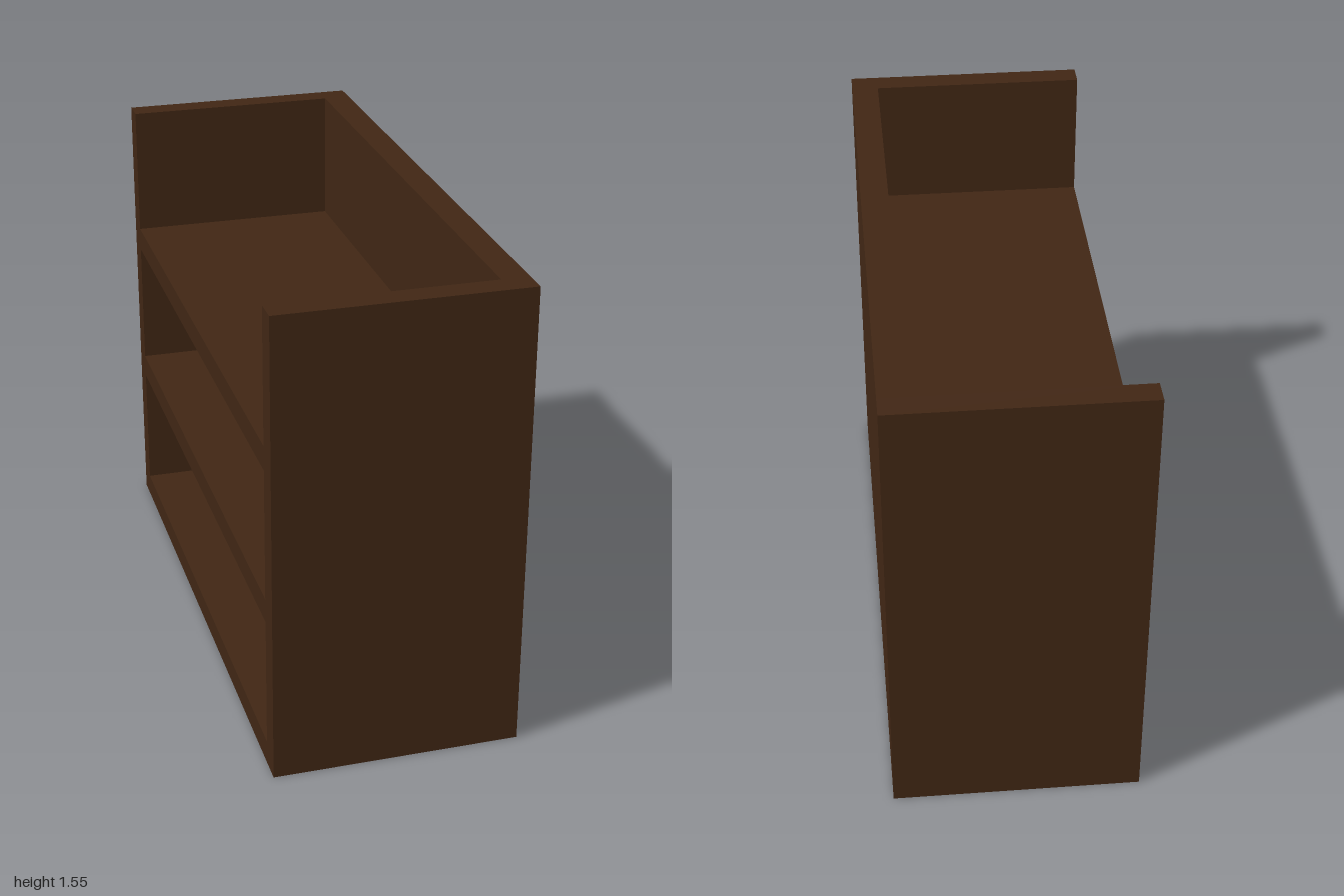
import * as THREE from 'three';

const DEPTH = 0.8, HEIGHT = 1.55, LENGTH = 2;
const PANEL = 0.08;  // thickness of sides and shelves
const BACK = 0.09;   // thickness of the closed long panel

export function createModel() {
  const model = new THREE.Group();
  model.name = 'openCounter';
  const wood = new THREE.MeshStandardMaterial({ color: 0x402614 });

  const addBox = (name, size, position) => {
    const mesh = new THREE.Mesh(new THREE.BoxGeometry(...size), wood);
    mesh.name = name;
    mesh.position.set(...position);
    model.add(mesh);
  };

  const innerLength = LENGTH - 2 * PANEL;
  const innerDepth = DEPTH - BACK;

  // Closed long panel on the +x side
  addBox('longPanel', [BACK, HEIGHT, innerLength], [DEPTH / 2 - BACK / 2, HEIGHT / 2, 0]);

  // End panels, mirrored in z
  for (const side of [1, -1]) {
    addBox(side > 0 ? 'frontEndPanel' : 'backEndPanel',
      [DEPTH, HEIGHT, PANEL], [0, HEIGHT / 2, side * (LENGTH - PANEL) / 2]);
  }

  // Floor and two shelves, open toward -x and recessed below the rim
  ['floorPanel', 'middleShelf', 'topShelf'].forEach((name, i) => {
    addBox(name, [innerDepth, PANEL, innerLength], [-BACK / 2, PANEL / 2 + i * 0.515, 0]);
  });

  return model;
}
